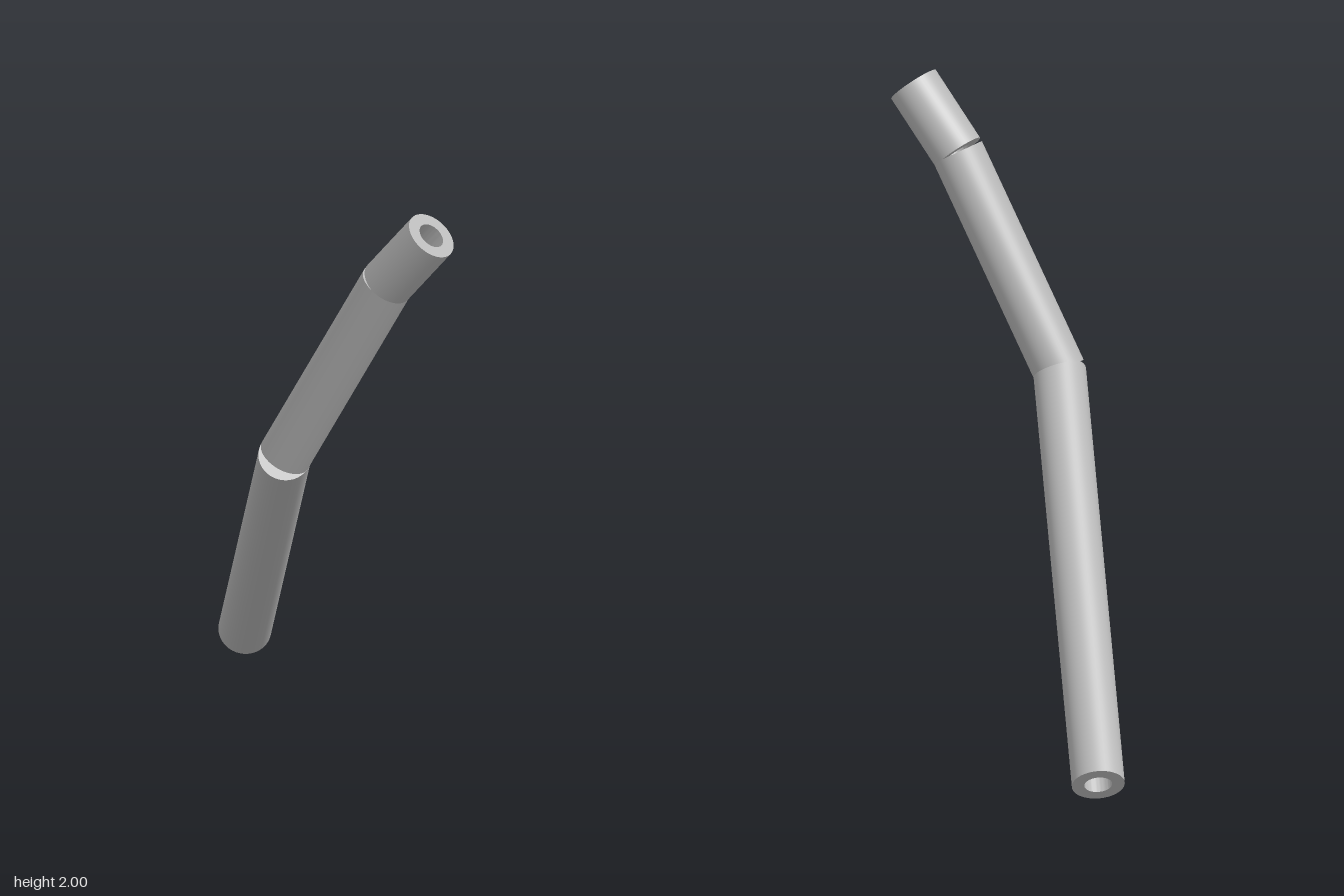
import * as THREE from 'three';
import { toCreasedNormals } from 'three/addons/utils/BufferGeometryUtils.js';

const OUTER = 0.0875;
const INNER = 0.046;

export function createModel() {
  const model = new THREE.Group();
  model.name = 'bentPipe';
  const grey = new THREE.MeshStandardMaterial({ color: 0xb8b8b8 });
  grey.name = 'pipe grey';

  // Ring-shaped section shared by every pipe
  const ring = new THREE.Shape().absarc(0, 0, OUTER, 0, Math.PI * 2, false);
  ring.holes.push(new THREE.Path().absarc(0, 0, INNER, 0, Math.PI * 2, true));

  // Hollow, square-cut pipe between two points
  function addPipe(name, from, to) {
    const axis = to.clone().sub(from);
    const geometry = new THREE.ExtrudeGeometry(ring, {
      depth: axis.length(), bevelEnabled: false, curveSegments: 24,
    });
    const pipe = new THREE.Mesh(toCreasedNormals(geometry, 0.6), grey);
    pipe.name = name;
    pipe.position.copy(from);
    pipe.quaternion.setFromUnitVectors(new THREE.Vector3(0, 0, 1), axis.normalize());
    model.add(pipe);
  }

  // Centre line: mouth, upper joint, elbow, foot
  const points = [
    [-0.45, 1.944, 0.719],
    [-0.45, 1.745, 0.538],
    [-0.45, 1.069, 0.122],
    [0.466, 0.068, -0.711],
  ].map((p) => new THREE.Vector3(...p));

  ['upperPipe', 'middlePipe', 'lowerPipe'].forEach((name, i) => {
    addPipe(name, points[i], points[i + 1]);
  });
  return model;
}
